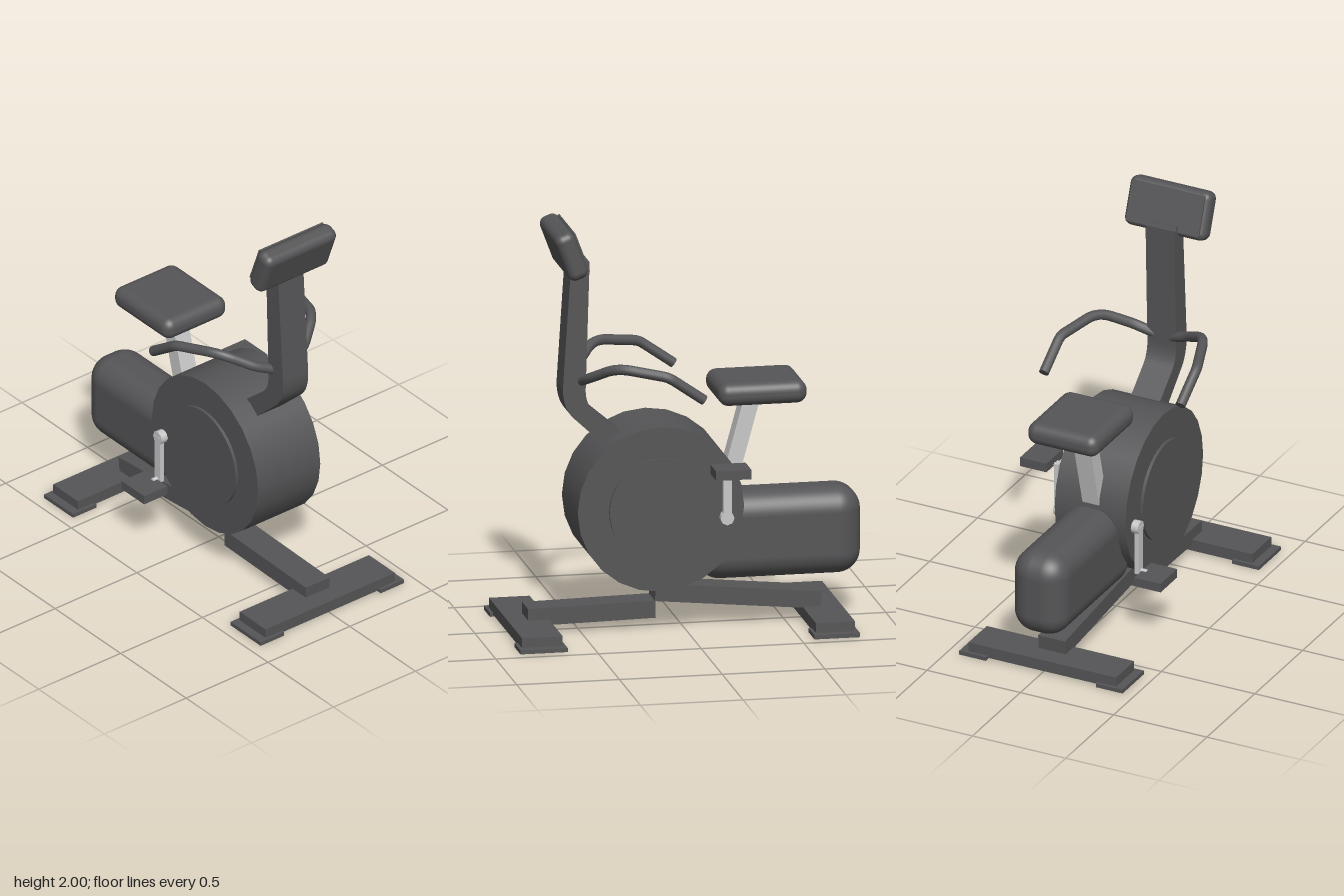
import * as THREE from 'three';
import { RoundedBoxGeometry } from 'three/addons/geometries/RoundedBoxGeometry.js';

const dark = new THREE.MeshStandardMaterial({ color: 0x555557 });
dark.name = 'dark grey';
const steel = new THREE.MeshStandardMaterial({ color: 0xc8c8c8 });
steel.name = 'light steel';

export function createModel() {
  const model = new THREE.Group();
  model.name = 'exerciseBike';

  const add = (name, geometry, x = 0, y = 0, z = 0, material = dark, parent = model) => {
    const mesh = new THREE.Mesh(geometry, material);
    mesh.name = name;
    mesh.position.set(x, y, z);
    parent.add(mesh);
    return mesh;
  };
  const box = (name, w, h, d, x, y, z, material, parent) =>
    add(name, new THREE.BoxGeometry(w, h, d), x, y, z, material, parent);
  // Cylinder lying along x
  const disc = (name, r, w, x, y, z, sides, material, parent) =>
    add(name, new THREE.CylinderGeometry(r, r, w, sides).rotateZ(Math.PI / 2), x, y, z, material, parent);
  // Rectangular bar between two points (y, z) in the middle plane
  const beam = (name, w, t, [y1, z1], [y2, z2], material) => {
    const m = box(name, w, t, Math.hypot(y2 - y1, z2 - z1), 0, (y1 + y2) / 2, (z1 + z2) / 2, material);
    m.rotation.x = -Math.atan2(y2 - y1, z2 - z1);
    return m;
  };

  // Floor supports with end feet
  for (const [name, z, d] of [['front', 0.752, 0.198], ['rear', -0.675, 0.19]]) {
    box(name + 'CrossBar', 0.79, 0.058, d, 0, 0.039, z);
    for (const s of [-1, 1]) box(name + 'Foot', 0.143, 0.02, d + 0.032, s * 0.3665, 0.01, z);
  }
  beam('frontBeam', 0.144, 0.085, [0.082, 0.755], [0.093, 0.135]);
  beam('rearBeam', 0.144, 0.085, [0.175, 0.135], [0.097, -0.67]);

  // Flywheel housing with raised side covers
  disc('flywheelHousing', 0.405, 0.38, 0, 0.614, 0.133, 24);
  for (const s of [-1, 1]) disc('sideCover', 0.252, 0.018, s * 0.196, 0.614, 0.133, 40);

  // Rear body
  add('rearBody', new RoundedBoxGeometry(0.286, 0.43, 0.8, 6, 0.115), 0, 0.437, -0.466);

  // Saddle and post
  beam('seatPost', 0.09, 0.078, [1.12, -0.345], [0.58, -0.198], steel);
  add('seat', new RoundedBoxGeometry(0.38, 0.112, 0.43, 5, 0.05), 0, 1.151, -0.37);

  // Bent column, drawn in side profile (z, y) and extruded across x
  const profile = new THREE.Shape();
  profile.moveTo(0.55, 1.772);
  profile.lineTo(0.587, 1.2);
  profile.quadraticCurveTo(0.587, 1.1, 0.53, 1.05);
  profile.lineTo(0.386, 0.915);
  profile.lineTo(0.29, 0.86);
  profile.lineTo(0.25, 0.925);
  profile.lineTo(0.435, 1.083);
  profile.quadraticCurveTo(0.48, 1.125, 0.476, 1.2);
  profile.lineTo(0.457, 1.82);
  profile.lineTo(0.5, 1.82);
  const columnGeo = new THREE.ExtrudeGeometry(profile, { depth: 0.154, bevelEnabled: false, curveSegments: 8 });
  columnGeo.translate(0, 0, -0.077).rotateY(-Math.PI / 2);
  add('column', columnGeo);

  // Console, tilted towards the rider, with a screen and a small ledge
  const consoleGroup = new THREE.Group();
  consoleGroup.name = 'console';
  consoleGroup.position.set(0, 1.88, 0.568);
  consoleGroup.rotation.x = 0.36;
  model.add(consoleGroup);
  add('consoleBody', new RoundedBoxGeometry(0.436, 0.242, 0.1, 5, 0.038), 0, 0, 0, dark, consoleGroup);
  box('screen', 0.39, 0.2, 0.009, 0, 0, -0.053, dark, consoleGroup);
  box('screenLedge', 0.16, 0.03, 0.02, 0, -0.088, -0.064, dark, consoleGroup);

  // Handlebars: straight runs joined by rounded bends
  for (const s of [-1, 1]) {
    const pts = [[0.04, 1.225, 0.5], [0.15, 1.27, 0.465], [0.285, 1.345, 0.365], [0.366, 1.307, 0.13], [0.366, 1.187, -0.042]]
      .map(([x, y, z]) => new THREE.Vector3(s * x, y, z));
    const path = new THREE.CurvePath();
    let from = pts[0];
    for (let i = 1; i < pts.length - 1; i++) {
      const reach = i === 2 ? 0.075 : 0.03;
      const toward = (q) => pts[i].clone().add(q.clone().sub(pts[i]).setLength(reach));
      const a = toward(pts[i - 1]), b = toward(pts[i + 1]);
      path.add(new THREE.LineCurve3(from, a));
      path.add(new THREE.QuadraticBezierCurve3(a, pts[i], b));
      from = b;
    }
    const end = pts[pts.length - 1];
    path.add(new THREE.LineCurve3(from, end));
    add('handlebar', new THREE.TubeGeometry(path, 60, 0.025, 12));
    const cap = add('handlebarEnd', new THREE.CircleGeometry(0.025, 12), end.x, end.y, end.z);
    cap.lookAt(end.clone().multiplyScalar(2).sub(from));
  }

  // Cranks and pedals, half a turn apart
  for (const s of [-1, 1]) {
    const y = 0.562, z = -0.184, pedalY = y + s * 0.25;
    disc('crankHub', 0.034, 0.04, s * 0.207, y, z, 8, steel);
    box('crankArm', 0.024, 0.25, 0.042, s * 0.217, y + s * 0.119, z, steel);
    disc('pedalAxle', 0.012, 0.05, s * 0.235, pedalY - s * 0.02, z, 8, steel);
    box('pedal', 0.142, 0.046, 0.172, s * 0.306, pedalY, z);
  }

  return model;
}
